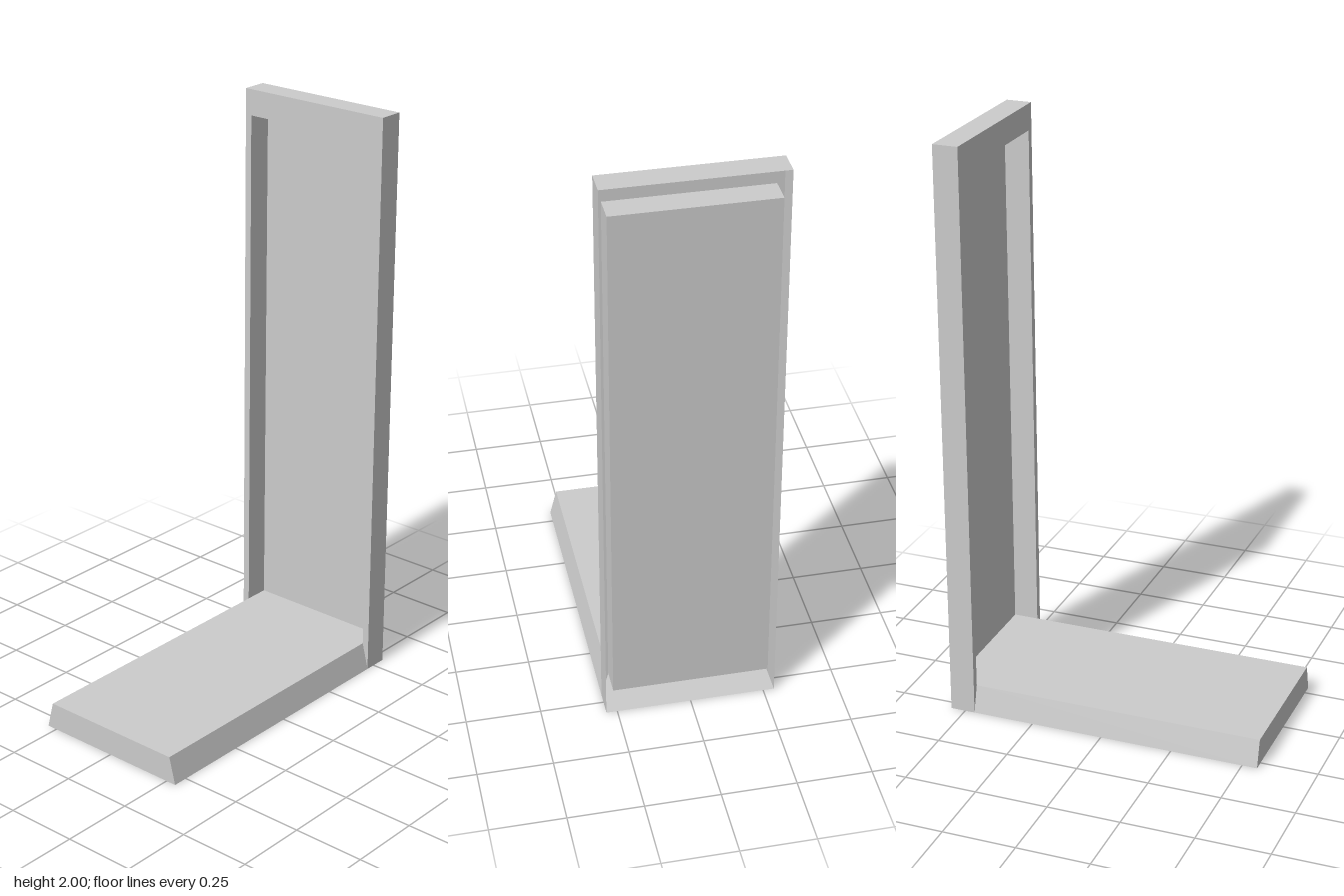
import * as THREE from 'three';

const BACK = -0.552, FACE = -0.465, TIP = 0.552;

// outlines run right foot, right top, left top, left foot
const outline = (x, y0, y1) => [[x, y0], [x, y1], [-x, y1], [-x, y0]];
const outer = outline(0.287, 0, 2);
const inner = outline(0.263, 0.094, 1.91);

const material = new THREE.MeshStandardMaterial({
  color: 0xcccccc, flatShading: true, side: THREE.DoubleSide,
});

const at = (p, z) => [p[0], p[1], z];

// thin four-cornered sheet, corners counterclockwise from its front
function sheet(name, a, b, c, d) {
  const geometry = new THREE.BufferGeometry();
  geometry.setAttribute('position', new THREE.Float32BufferAttribute([...a, ...b, ...c, ...d], 3));
  geometry.setIndex([0, 1, 2, 0, 2, 3]);
  geometry.computeVertexNormals();
  const mesh = new THREE.Mesh(geometry, material);
  mesh.name = name;
  return mesh;
}

export function createModel() {
  const model = new THREE.Group();
  model.name = 'doorwayWithRamp';

  // hollow frame, open at the back: outer wall, mitred face and recess wall
  const frame = new THREE.Group();
  frame.name = 'frame';
  ['right', 'top', 'left'].forEach((label, i) => {
    const o = outer[i], o2 = outer[i + 1], n = inner[i], n2 = inner[i + 1];
    const side = ['left', 'top', 'right'][i]; // the model's own left is +x
    frame.add(
      sheet(side + 'OuterWall', at(o, BACK), at(o2, BACK), at(o2, FACE), at(o, FACE)),
      sheet(side + 'FrameFace', at(o, FACE), at(o2, FACE), at(n2, FACE), at(n, FACE)),
      sheet(side + 'RecessWall', at(n, FACE), at(n2, FACE), at(n2, BACK), at(n, BACK)),
    );
  });

  // recessed door panel
  const door = sheet('doorPanel', ...inner.map((p) => at(p, BACK)));

  // ramp with sloping sides, running through the frame
  const ramp = new THREE.Group();
  ramp.name = 'ramp';
  const [o0, , , o3] = outer, [n0, , , n3] = inner;
  ramp.add(
    sheet('rampTop', at(n0, TIP), at(n0, BACK), at(n3, BACK), at(n3, TIP)),
    sheet('rampBottom', at(o0, BACK), at(o0, TIP), at(o3, TIP), at(o3, BACK)),
    sheet('rampFront', at(o0, TIP), at(n0, TIP), at(n3, TIP), at(o3, TIP)),
    sheet('rampLeftSide', at(o0, FACE), at(n0, FACE), at(n0, TIP), at(o0, TIP)),
    sheet('rampRightSide', at(o3, TIP), at(n3, TIP), at(n3, FACE), at(o3, FACE)),
  );

  model.add(frame, door, ramp);
  return model;
}
